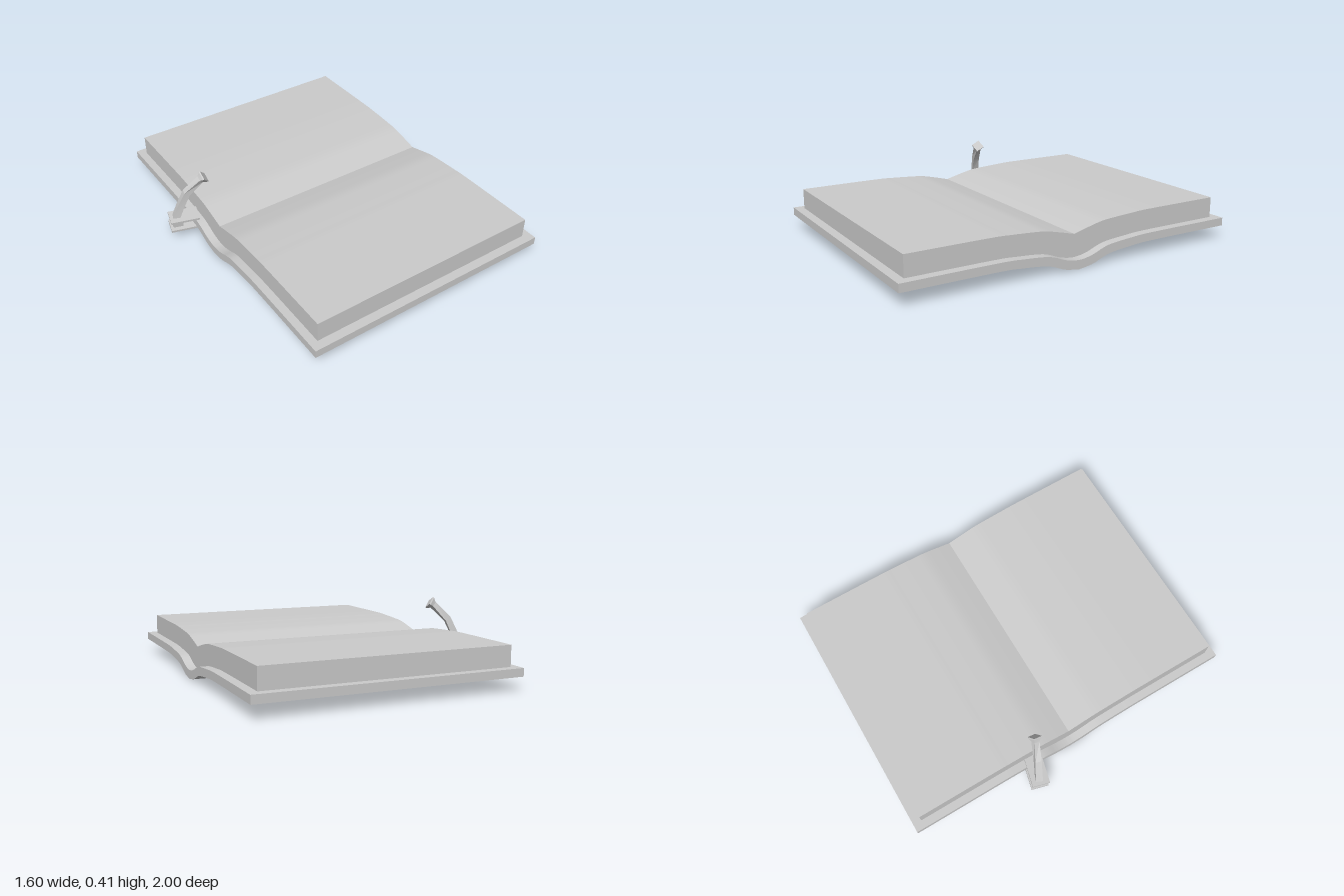
import * as THREE from 'three';
import { toCreasedNormals } from 'three/addons/utils/BufferGeometryUtils.js';

const material = new THREE.MeshStandardMaterial({ color: 0xcccccc });

function add(parent, name, geometry) {
  const mesh = new THREE.Mesh(geometry, material);
  mesh.name = name;
  parent.add(mesh);
  return mesh;
}

// Half profiles as [distance from the spine, height]
const coverBottom = [[0, 0], [0.03, 0.004], [0.09, 0.015], [0.16, 0.042], [0.22, 0.056], [0.34, 0.068], [0.48, 0.075], [1, 0.075]];
const coverTop = [[0, 0.05], [0.04, 0.054], [0.09, 0.066], [0.15, 0.089], [0.21, 0.103], [0.34, 0.114], [0.48, 0.12], [1, 0.12]];
const pagesTop = [[0, 0.175], [0.1, 0.2], [0.18, 0.217], [0.26, 0.224], [0.38, 0.231], [0.5, 0.235], [0.95, 0.235]];

// Smooth a half profile and mirror it, running from -end to +end
function fullProfile(half, end) {
  const pts = new THREE.SplineCurve(half.map(([z, y]) => new THREE.Vector2(Math.min(z, end), y))).getPoints(42);
  const mirrored = pts.slice(1).reverse().map(p => new THREE.Vector2(-p.x, p.y));
  return [...mirrored, ...pts];
}

// Slab between two profiles, extruded across the book from x0 to x1
function slab(bottom, top, end, x0, x1) {
  const outline = [...fullProfile(bottom, end), ...fullProfile(top, end).reverse()];
  const g = new THREE.ExtrudeGeometry(new THREE.Shape(outline), { depth: x1 - x0, bevelEnabled: false });
  g.rotateY(Math.PI / 2).translate(x0, 0, 0);
  return toCreasedNormals(g, 0.35);
}

// Square tube through sections {p: [x, y], a: direction angle, w: width, roll}
function squareLoft(sections) {
  const pos = [], index = [];
  for (const { p, a, w, roll } of sections) {
    for (let k = 0; k < 4; k++) {
      const t = roll + Math.PI / 4 + k * Math.PI / 2, r = w * Math.SQRT1_2;
      const n = Math.cos(t) * r, z = Math.sin(t) * r;
      pos.push(p[0] - Math.sin(a) * n, p[1] + Math.cos(a) * n, z);
    }
  }
  const last = (sections.length - 1) * 4;
  for (let i = 0; i < last; i += 4) {
    for (let k = 0; k < 4; k++) {
      const a = i + k, b = i + (k + 1) % 4;
      index.push(a, b, b + 4, a, b + 4, a + 4);
    }
  }
  index.push(0, 2, 1, 0, 3, 2, last, last + 1, last + 2, last, last + 2, last + 3);
  const g = new THREE.BufferGeometry();
  g.setAttribute('position', new THREE.Float32BufferAttribute(pos, 3));
  g.setIndex(index);
  return toCreasedNormals(g, 0.3);
}

export function createModel() {
  const model = new THREE.Group();
  model.name = 'openBookWithLamp';

  // Open book
  const book = new THREE.Group();
  book.name = 'book';
  model.add(book);
  add(book, 'cover', slab(coverBottom, coverTop, 1, -0.665, 0.8));
  add(book, 'pages', slab(coverTop, pagesTop, 0.95, -0.62, 0.75));

  // Clip gripping the cover edge
  const clip = new THREE.Group();
  clip.name = 'lampClip';
  clip.position.set(-0.712, 0.087, -0.265);
  clip.rotation.set(0.1, -0.25, 0);
  model.add(clip);
  for (const [name, y] of [['upperJaw', 0.03], ['lowerJaw', -0.031]]) {
    add(clip, name, new THREE.BoxGeometry(0.165, 0.013, 0.1)).position.y = y;
  }
  add(clip, 'clipPost', new THREE.BoxGeometry(0.055, 0.06, 0.05)).position.x = -0.038;

  // Bent lamp arm and flared head
  const lamp = new THREE.Group();
  lamp.name = 'lamp';
  lamp.position.set(-0.757, 0.11, -0.277);
  lamp.rotation.y = -0.38;
  model.add(lamp);
  add(lamp, 'lampArm', squareLoft([
    { p: [0, 0], a: 1.2, w: 0.04, roll: 0 },
    { p: [0.035, 0.085], a: 1.15, w: 0.038, roll: 0.05 },
    { p: [0.075, 0.168], a: 0.92, w: 0.036, roll: 0.15 },
    { p: [0.16, 0.25], a: 0.7, w: 0.032, roll: 0.5 },
  ]));
  add(lamp, 'lampHead', squareLoft([
    { p: [0.16, 0.25], a: 0.7, w: 0.032, roll: 0.5 },
    { p: [0.178, 0.262], a: 0.6, w: 0.054, roll: 0.6 },
    { p: [0.184, 0.266], a: 0.6, w: 0.054, roll: 0.6 },
  ]));
  return model;
}
